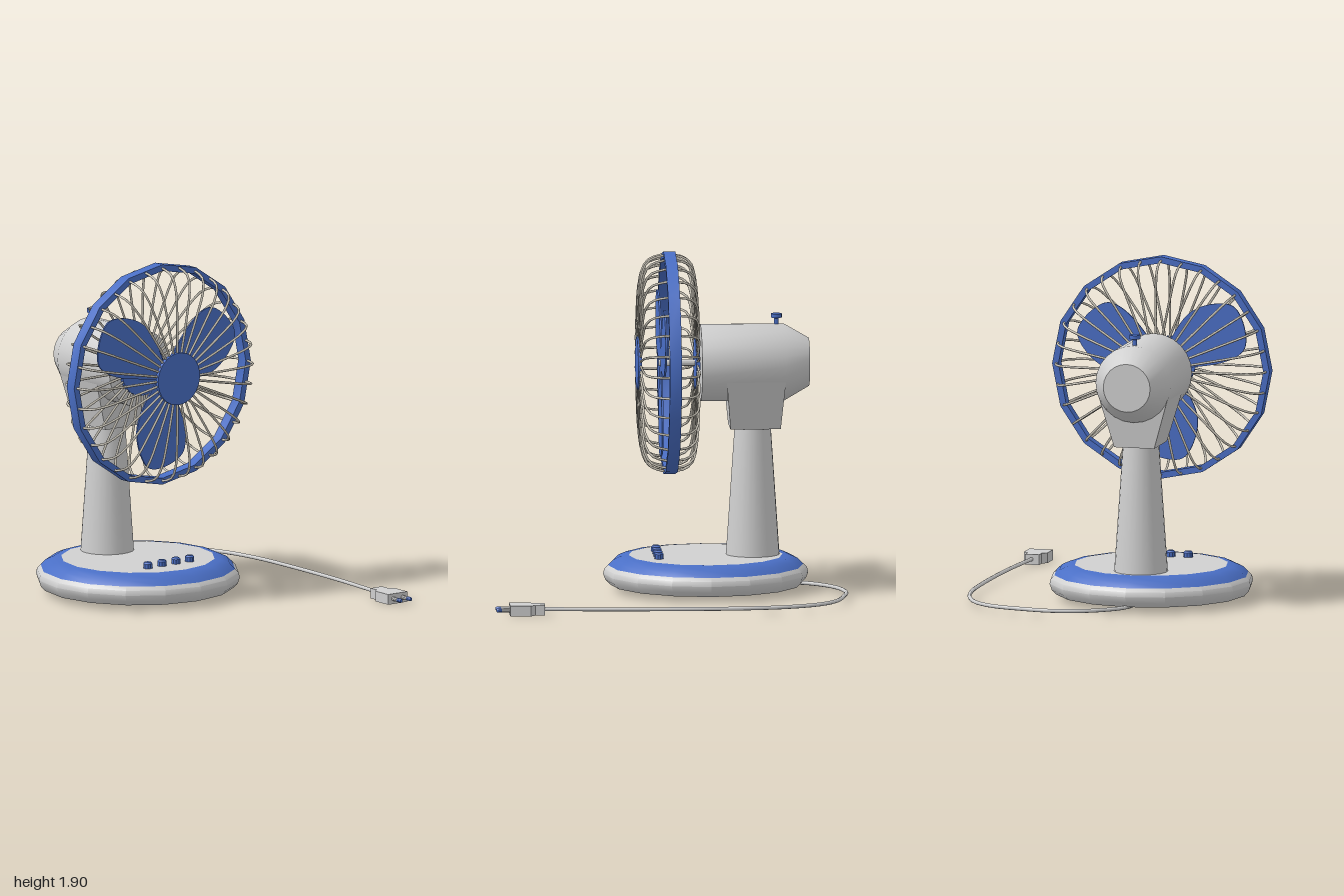
import * as THREE from 'three';
import { toCreasedNormals } from 'three/addons/utils/BufferGeometryUtils.js';

const blue = new THREE.MeshStandardMaterial({ color: 0x4a6fc6 });
blue.name = 'blue plastic';
const grey = new THREE.MeshStandardMaterial({ color: 0xd0d0d0 });
grey.name = 'light grey plastic';
const wire = new THREE.MeshStandardMaterial({ color: 0xc6c1b5 });
wire.name = 'wire grey';

const V2 = (p) => new THREE.Vector2(p[0], p[1]);
const V3 = (p) => new THREE.Vector3(p[0], p[1], p[2]);

export function createModel() {
  const model = new THREE.Group();
  model.name = 'deskFan';

  const add = (name, geometry, material, pos = [0, 0, 0], parent = model) => {
    const mesh = new THREE.Mesh(geometry, material);
    mesh.name = name;
    mesh.position.set(...pos);
    parent.add(mesh);
    return mesh;
  };
  const lathe = (points, sides) =>
    toCreasedNormals(new THREE.LatheGeometry(points.map(V2), sides), 0.6);
  // a lathe turned so its axis runs along z
  const latheZ = (points, sides) => lathe(points, sides).rotateX(Math.PI / 2);

  // Base: grey body, blue shoulder, grey top plate
  const base = new THREE.Group();
  base.name = 'base';
  base.position.set(-0.186, 0, -0.227);
  model.add(base);
  add('baseBody', lathe([[0, 0.034], [0.535, 0.034], [0.56, 0.06], [0.572, 0.095], [0.565, 0.122], [0.545, 0.142]], 16), grey, [0, 0, 0], base);
  add('baseShoulder', lathe([[0.545, 0.142], [0.515, 0.172], [0.47, 0.192], [0.43, 0.197]], 16), blue, [0, 0, 0], base);
  add('baseTop', lathe([[0.43, 0.197], [0, 0.198]], 16), grey, [0, 0, 0], base);

  // Row of speed buttons
  for (const x of [-0.327, -0.227, -0.128, -0.031]) {
    add('button', lathe([[0.026, 0], [0.026, 0.028], [0.018, 0.037], [0, 0.037]], 10), blue, [x, 0.195, 0.042]);
  }

  // Stand
  add('pillar', new THREE.CylinderGeometry(0.1, 0.15, 0.74, 24), grey, [-0.196, 0.56, -0.49]);

  // Tapered neck under the motor
  const neck = new THREE.BoxGeometry(1, 1, 1);
  const np = neck.attributes.position;
  for (let i = 0; i < np.count; i++) {
    const top = np.getY(i) > 0;
    np.setXYZ(i, np.getX(i) * (top ? 0.41 : 0.23), top ? 1.22 : 0.913, np.getZ(i) * (top ? 0.335 : 0.28));
  }
  neck.computeVertexNormals();
  add('neck', neck, grey, [-0.196, 0, -0.5]);

  // Head: everything centred on the fan axis
  const head = new THREE.Group();
  head.name = 'head';
  head.position.set(-0.196, 1.275, 0);
  model.add(head);
  const addHead = (name, geometry, material, pos) => add(name, geometry, material, pos, head);

  addHead('motorHousing', latheZ([[0, -0.803], [0.135, -0.803], [0.216, -0.663], [0.216, -0.197], [0, -0.197]], 24), grey);
  addHead('shaft', latheZ([[0, -0.2], [0.018, -0.2], [0.018, 0.035], [0, 0.035]], 12), grey);

  // Swing knob
  addHead('knob', lathe([[0.013, 0.2], [0.013, 0.247], [0.031, 0.251], [0.031, 0.273], [0, 0.273]], 12), blue, [0, 0, -0.622]);

  // Blades
  const outline = [[-0.03, 0.0], [-0.08, 0.13], [-0.135, 0.28], [-0.15, 0.4], [-0.115, 0.475], [0, 0.523],
    [0.11, 0.515], [0.175, 0.41], [0.19, 0.28], [0.135, 0.145], [0.03, 0.0]].map(V2);
  const bladeShape = new THREE.Shape();
  bladeShape.moveTo(outline[0].x, outline[0].y);
  bladeShape.splineThru(outline.slice(1));
  const bladeGeometry = new THREE.ExtrudeGeometry(bladeShape, { depth: 0.01, bevelEnabled: false, curveSegments: 30 });
  for (let i = 0; i < 3; i++) {
    addHead('blade', bladeGeometry, blue, [0, 0, 0.015]).rotation.z = Math.PI + (i * Math.PI * 2) / 3;
  }

  // Cage: end discs, rim band and bent wires
  const disc = latheZ([[0, -0.011], [0.148, -0.011], [0.148, 0.011], [0, 0.011]], 32);
  addHead('frontDisc', disc, blue, [0, 0, 0.146]);
  addHead('backDisc', disc, blue, [0, 0, -0.178]);
  addHead('rim', latheZ([[0.59, -0.059], [0.626, -0.059], [0.626, 0.008], [0.59, 0.008], [0.59, -0.059]], 16), blue);

  const wirePath = new THREE.CatmullRomCurve3([
    [0.12, 0, 0.142], [0.35, 0, 0.14], [0.5, 0, 0.128], [0.57, 0, 0.095], [0.6, 0, 0.03], [0.604, 0, -0.03],
    [0.594, 0, -0.1], [0.56, 0, -0.145], [0.5, 0, -0.163], [0.3, 0, -0.172], [0.12, 0, -0.176]].map(V3));
  const wireGeometry = new THREE.TubeGeometry(wirePath, 32, 0.007, 6);
  for (let i = 0; i < 32; i++) {
    addHead('cageWire', wireGeometry, wire).rotation.z = (i * Math.PI) / 16;
  }

  // Power cord lying behind and beside the base
  const cordPath = new THREE.CatmullRomCurve3([
    [-0.2, -0.71], [-0.157, -0.81], [0, -0.94], [0.19, -0.988], [0.36, -0.965], [0.546, -0.91], [0.667, -0.81],
    [0.75, -0.645], [0.794, -0.42], [0.804, -0.13], [0.79, 0.344], [0.756, 0.74]].map(([x, z]) => V3([x, 0.033, z])));
  add('cord', new THREE.TubeGeometry(cordPath, 48, 0.011, 8), grey);

  // Plug with two prongs, blue at the tips
  const plugShape = new THREE.Shape([[-0.04, -0.1], [0.04, -0.1], [0.04, -0.045], [0.068, -0.02], [0.068, 0.096],
    [-0.068, 0.096], [-0.068, -0.02], [-0.04, -0.045]].map(V2));
  const plug = new THREE.ExtrudeGeometry(plugShape, { depth: 0.058, bevelEnabled: false }).rotateX(Math.PI / 2);
  add('plug', plug, grey, [0.752, 0.06, 0.826]);
  for (const side of [-1, 1]) {
    const x = 0.752 + side * 0.034;
    add('prong', latheZ([[0.012, 0], [0.012, 0.05]], 10), grey, [x, 0.032, 0.918]);
    add('prongTip', latheZ([[0.012, 0], [0.012, 0.024], [0.008, 0.03], [0, 0.03]], 10), blue, [x, 0.032, 0.968]);
  }

  return model;
}
